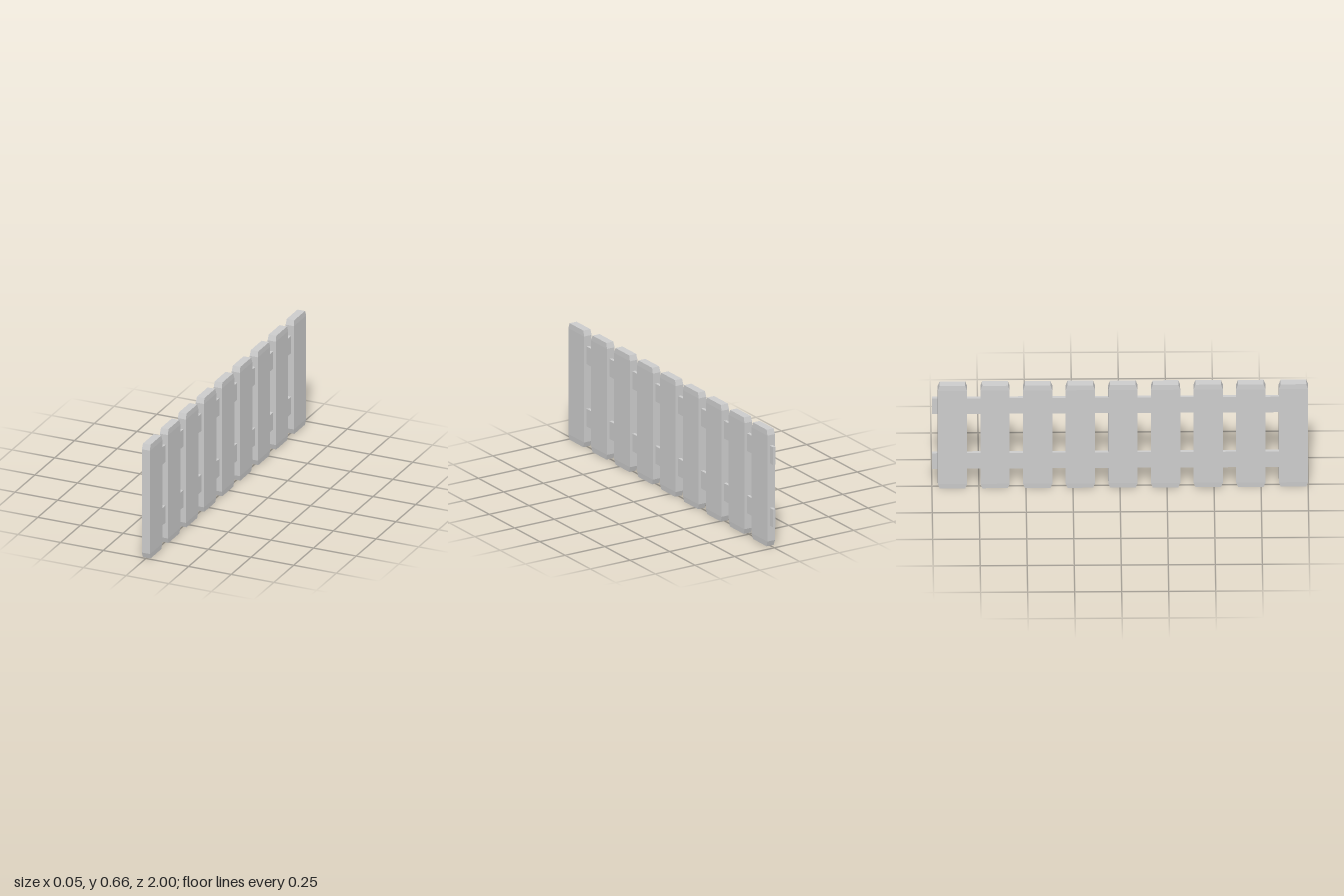
import * as THREE from 'three';

const HEIGHT = 0.66, WIDTH = 0.156, THICK = 0.048, CHAMFER = 0.03;
const COUNT = 9, SPACING = 0.2266;

// Board with slightly tapered top and bottom ends
function boardGeometry() {
  const geo = new THREE.BoxGeometry(THICK, HEIGHT, WIDTH, 1, 3, 1);
  const pos = geo.attributes.position;
  for (let i = 0; i < pos.count; i++) {
    const y = pos.getY(i);
    if (Math.abs(y) > HEIGHT / 2 - 0.001) {
      pos.setX(i, pos.getX(i) - Math.sign(pos.getX(i)) * 0.002);
      pos.setZ(i, pos.getZ(i) - Math.sign(pos.getZ(i)) * 0.01);
    } else {
      pos.setY(i, Math.sign(y) * (HEIGHT / 2 - CHAMFER));
    }
  }
  geo.translate(0, HEIGHT / 2, 0);
  return geo;
}

export function createModel() {
  const fence = new THREE.Group();
  fence.name = 'picketFence';
  const material = new THREE.MeshStandardMaterial({ color: 0xcccccc, flatShading: true });

  // Upright boards
  const board = boardGeometry();
  for (let i = 0; i < COUNT; i++) {
    const mesh = new THREE.Mesh(board, material);
    mesh.name = `picket${i + 1}`;
    mesh.position.z = 1 - WIDTH / 2 - i * SPACING;
    fence.add(mesh);
  }

  // Horizontal rails, running through the boards and past the back end
  const front = 0.97, back = -1;
  const rail = new THREE.BoxGeometry(0.017, 0.1, front - back);
  for (const [name, y] of [['lowerRail', 0.168], ['upperRail', 0.521]]) {
    const mesh = new THREE.Mesh(rail, material);
    mesh.name = name;
    mesh.position.set(0, y, (front + back) / 2);
    fence.add(mesh);
  }
  return fence;
}
